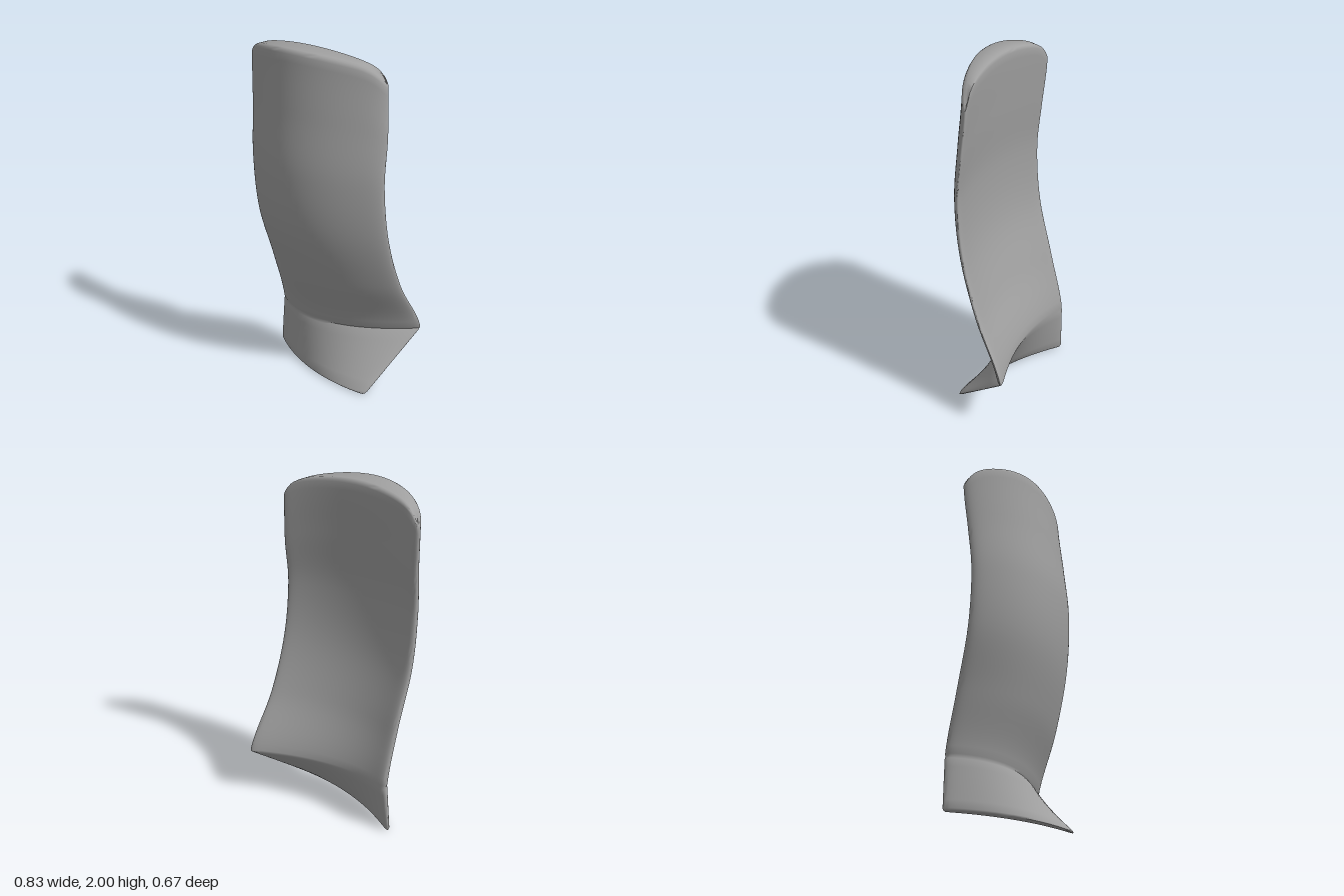
import * as THREE from 'three';
import { toCreasedNormals } from 'three/addons/utils/BufferGeometryUtils.js';

const N = 72;        // points round each cross-section
const KINK = 0.3;    // height where the foot folds forward

// Body sections, evenly spaced from the kink to the top:
// left x, right x, left z, right z, back bulge, centre thickness, edge thickness
const BODY = [
  [-0.400, 0.390, 0.025, -0.340, 0.090, 0.130, 0.045],
  [-0.385, 0.402, 0.110, -0.165, 0.085, 0.135, 0.045],
  [-0.377, 0.412, 0.208, -0.055, 0.078, 0.142, 0.045],
  [-0.377, 0.412, 0.237, -0.020, 0.070, 0.145, 0.045],
  [-0.392, 0.402, 0.218, -0.045, 0.065, 0.145, 0.045],
  [-0.415, 0.378, 0.199, -0.062, 0.062, 0.145, 0.045],
];
const FOOT = [-0.415, 0.370, 0.045, 0.065, 0.058, 0.052, 0.035];

const curves = FOOT.map((_, k) => new THREE.SplineCurve(BODY.map((s, i) => new THREE.Vector2(i, s[k]))));

// Section values at a height: smooth in the body, straight in the foot
function sectionAt(y) {
  if (y < KINK) return FOOT.map((f, k) => THREE.MathUtils.lerp(f, BODY[0][k], y / KINK));
  return curves.map((c) => c.getPoint((y - KINK) / (2 - KINK)).y);
}

// One lens-shaped ring; inset thins it and pulls in the ends to round the rim
function ring(y, inset, out) {
  const [xL, xR, zL, zR, bulge, thick, edge] = sectionAt(y);
  const lift = THREE.MathUtils.smoothstep(y, 1.1, 2);
  for (let i = 0; i < N; i++) {
    const a = (i / N) * Math.PI * 2;
    const u = Math.cos(a);
    const side = Math.abs(Math.sin(a)) < 1e-6 ? 0 : Math.sign(Math.sin(a));
    const w = 1 - u * u;
    const x = (xL + xR) / 2 + u * ((xR - xL) / 2 - inset);
    const chord = (zL + zR) / 2 + u * (zR - zL) / 2;
    const middle = chord + bulge * w + edge / 2 + (thick - edge) * w / 2;
    const depth = edge * Math.sqrt(Math.max(0, 1 - u ** 20)) + (thick - edge) * w;
    const half = Math.max(depth / 2 - inset, depth * 0.2);
    // arched top with rounded corners
    const drop = lift * (0.07 * u * u + 0.07 * u ** 12);
    out.push(x, y - drop, middle + side * half);
  }
}

function shellGeometry() {
  // Row heights with insets at the bottom and top rims
  const rows = [[0, 0.012], [0.005, 0.004], [0.015, 0]];
  for (let i = 1; i <= 6; i++) rows.push([0.015 + (KINK - 0.027) * i / 6, 0]);
  rows.push([KINK, 0.003], [KINK + 0.012, 0]);
  for (let i = 1; i <= 40; i++) rows.push([KINK + 0.012 + (1.975 - KINK - 0.012) * i / 40, 0]);
  rows.push([1.985, 0.003], [1.994, 0.008], [2, 0.018]);

  const pos = [];
  const index = [];
  rows.forEach(([y, inset]) => ring(y, inset, pos));

  // Walls
  for (let j = 0; j < rows.length - 1; j++) {
    for (let i = 0; i < N; i++) {
      const a = j * N + i;
      const b = j * N + (i + 1) % N;
      index.push(a, a + N, b, b, a + N, b + N);
    }
  }
  // Bottom and top caps join the front and back of the ring
  const top = (rows.length - 1) * N;
  for (let i = 0; i < N / 2; i++) {
    const f0 = i, f1 = i + 1, b0 = (N - i) % N, b1 = N - i - 1;
    const tris = [];
    if (b0 !== f0) tris.push([f0, b0, f1]);
    if (b1 !== f1) tris.push([f1, b0, b1]);
    for (const [p, q, r] of tris) {
      index.push(top + p, top + q, top + r);
      index.push(p, r, q);
    }
  }
  const geo = new THREE.BufferGeometry();
  geo.setAttribute('position', new THREE.Float32BufferAttribute(pos, 3));
  geo.setIndex(index);
  return toCreasedNormals(geo, 0.9);
}

export function createModel() {
  const group = new THREE.Group();
  group.name = 'curvedShell';
  const grey = new THREE.MeshStandardMaterial({ color: 0xa0a0a0 });
  grey.name = 'plain grey';
  const shell = new THREE.Mesh(shellGeometry(), grey);
  shell.name = 'curvedPanelWithFoot';
  group.add(shell);
  return group;
}
